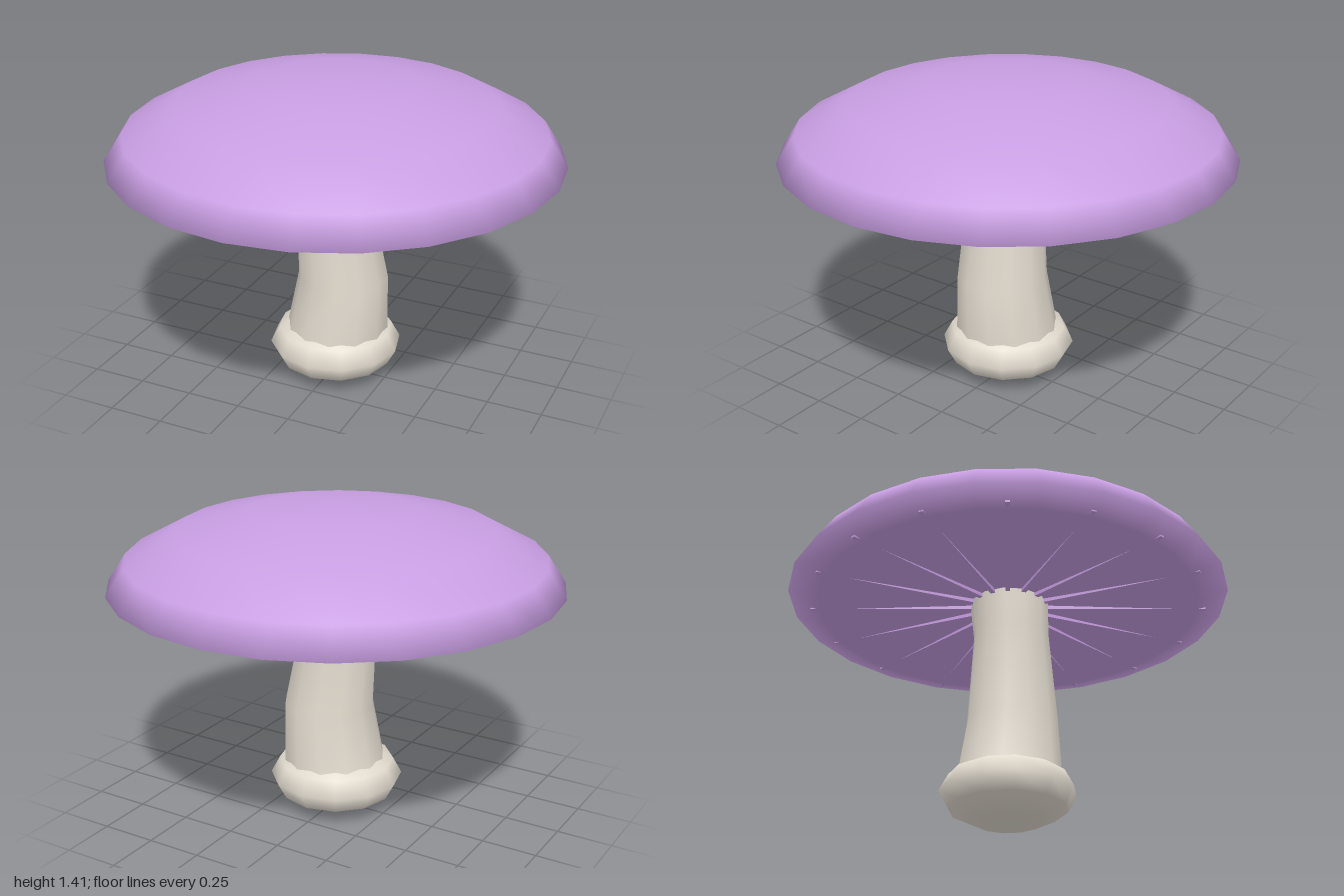
import * as THREE from 'three';
import { mergeVertices } from 'three/addons/utils/BufferGeometryUtils.js';

const purple = new THREE.MeshStandardMaterial({ color: 0xc89ee2 });
purple.name = 'capPurple';
const cream = new THREE.MeshStandardMaterial({ color: 0xe1dace });
cream.name = 'stemCream';

function addMesh(parent, name, geometry, material) {
  const mesh = new THREE.Mesh(geometry, material);
  mesh.name = name;
  parent.add(mesh);
  return mesh;
}

// Join seams and shade the whole surface smoothly
function smooth(geometry) {
  geometry.deleteAttribute('uv');
  geometry.deleteAttribute('normal');
  const welded = mergeVertices(geometry);
  welded.computeVertexNormals();
  return welded;
}

// Bent tube through rings of [y, centreX, centreZ, radius], flats facing the axes
function bentTube(rings, sides) {
  const rows = rings.length - 1;
  const g = new THREE.CylinderGeometry(1, 1, rows, sides, rows, true).rotateY(Math.PI / sides);
  const p = g.attributes.position;
  for (let i = 0; i < p.count; i++) {
    const [y, cx, cz, r] = rings[Math.round(p.getY(i) + rows / 2)];
    p.setXYZ(i, cx + p.getX(i) * r, y, cz + p.getZ(i) * r);
  }
  return smooth(g);
}

export function createModel() {
  const model = new THREE.Group();
  model.name = 'mushroom';

  // Cap: slightly hollow underside, lip, rim and dome as one closed profile
  const cap = new THREE.Group();
  cap.name = 'cap';
  model.add(cap);
  const profile = [
    [0, 1.066], [0.5, 1.051], [0.87, 1.04],
    [1, 1.075], [0.92, 1.195], [0.702, 1.312], [0.36, 1.393], [0, 1.41],
  ].map(([r, y]) => new THREE.Vector2(r, y));
  addMesh(cap, 'capBody', smooth(new THREE.LatheGeometry(profile, 24)), purple);

  // Gills: straight blades fanning out from the stem, their tips showing at the lip
  const gills = new THREE.Group();
  gills.name = 'gills';
  cap.add(gills);
  const blade = new THREE.BoxGeometry(0.8, 0.03, 0.021).translate(0.505, 1.058, 0);
  for (let i = 0; i < 16; i++) {
    addMesh(gills, 'gill', blade, purple).rotation.y = (i * Math.PI) / 8;
  }

  // Stem: leans towards +x low down and straightens under the cap
  const stemRings = [
    [0.1, 0.0, 0.0, 0.243],
    [0.25, 0.012, 0.0, 0.23],
    [0.5, 0.04, 0.003, 0.204],
    [0.9, -0.006, 0.018, 0.17],
    [1.08, -0.002, 0.006, 0.18],
  ];
  addMesh(model, 'stem', bentTube(stemRings, 12), cream);

  // Bulb at the foot of the stem
  const bulb = new THREE.SphereGeometry(0.3, 12, 6).scale(1, 0.5, 1).translate(0, 0.152, 0);
  addMesh(model, 'bulb', bulb, cream);

  return model;
}
